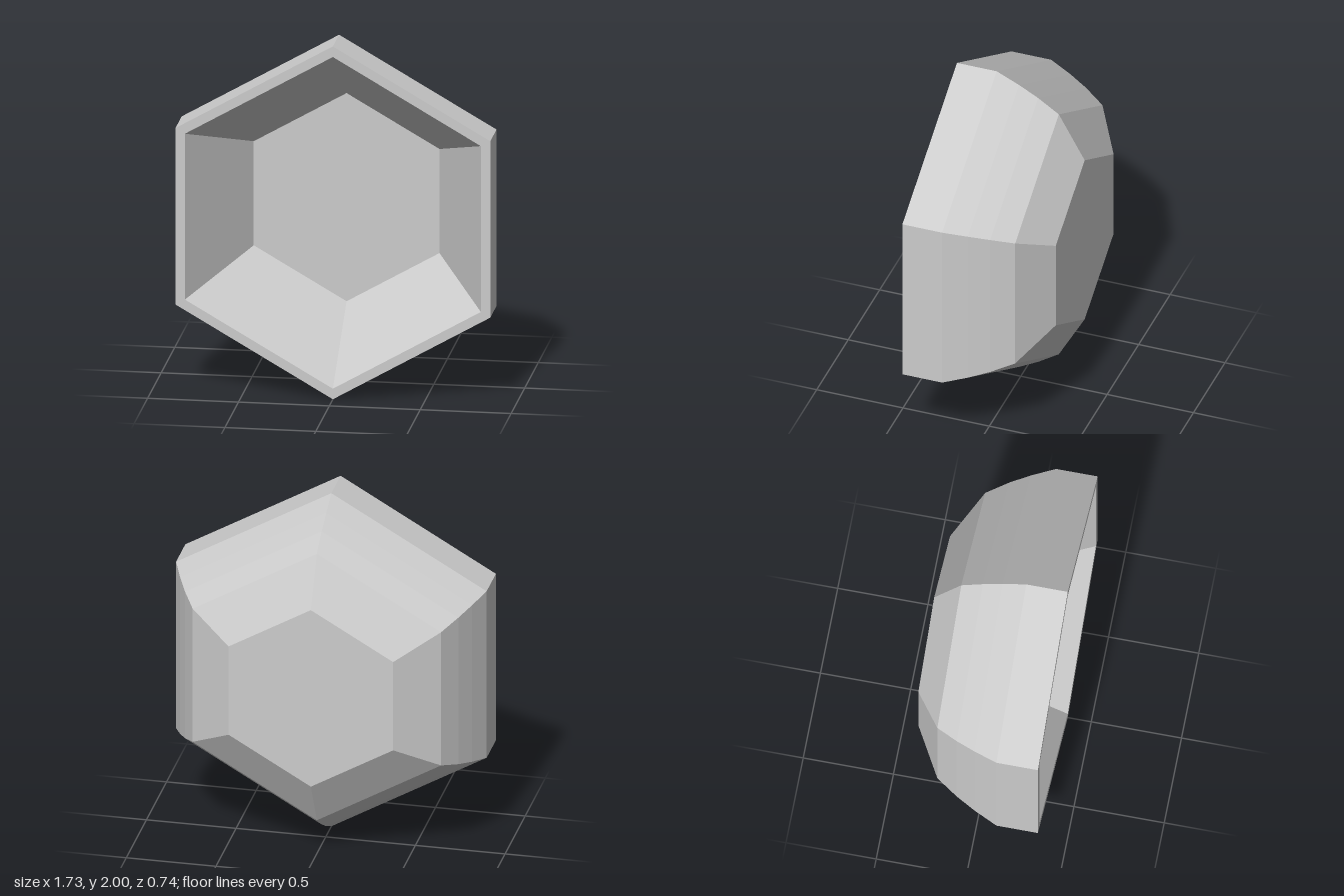
import * as THREE from 'three';

const SIDES = 6;

// Six-sided ring surface from [radius, z] pairs, corners pointing up and down
function hexSurface(name, profile, material) {
  const points = profile.map(([r, z]) => new THREE.Vector2(r, z));
  const geometry = new THREE.LatheGeometry(points, SIDES);
  geometry.rotateX(Math.PI / 2); // lathe axis becomes z
  const mesh = new THREE.Mesh(geometry, material);
  mesh.name = name;
  return mesh;
}

export function createModel() {
  const group = new THREE.Group();
  group.name = 'hexagonalBowl';
  const material = new THREE.MeshStandardMaterial({ color: 0xcccccc, flatShading: true });

  const body = new THREE.Group();
  body.name = 'body';
  body.position.y = 1;
  group.add(body);

  // Closed back, chamfer, gently bulging sides and straight front band
  body.add(hexSurface('outerShell', [
    [0, -0.37], [0.53, -0.37], [0.8, -0.22], [0.88, -0.1], [0.94, 0.01], [1, 0.14], [1, 0.37],
  ], material));

  // Narrow flat lip around the opening
  body.add(hexSurface('rim', [[1, 0.37], [0.94, 0.37]], material));

  // Sloping inner walls
  body.add(hexSurface('innerWalls', [[0.94, 0.37], [0.59, -0.135]], material));

  // Flat floor of the hollow
  body.add(hexSurface('floor', [[0.59, -0.135], [0, -0.135]], material));

  return group;
}
